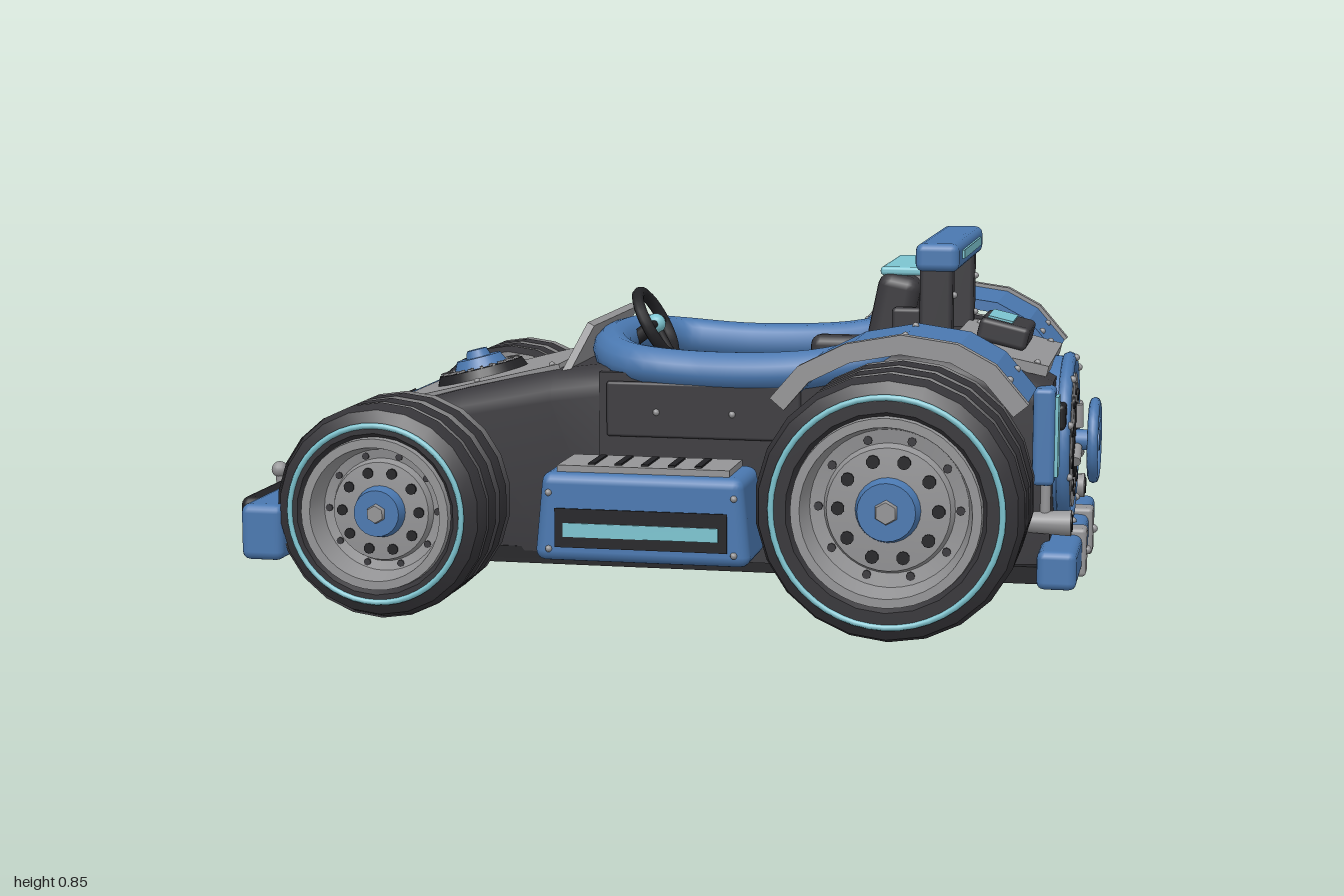
import * as THREE from 'three';
import { toCreasedNormals } from 'three/addons/utils/BufferGeometryUtils.js';
import { RoundedBoxGeometry } from 'three/addons/geometries/RoundedBoxGeometry.js';

const paint = (name, color) => Object.assign(new THREE.MeshStandardMaterial({ color }), { name });

export function createModel() {
  const blue = paint('blue paint', 0x4a78b0), body = paint('charcoal body', 0x3a393d),
    rubber = paint('tyre rubber', 0x353438), black = paint('black trim', 0x222225),
    grey = paint('grey metal', 0x949496), teal = paint('teal accent', 0x7cc4d0);
  const root = new THREE.Group();
  const SIDES = [1, -1];

  const add = (parent, name, geo, mat, x = 0, y = 0, z = 0) => {
    const m = new THREE.Mesh(geo, mat);
    m.name = name;
    m.position.set(x, y, z);
    parent.add(m);
    return m;
  };
  const group = (name, parent = root) => {
    const g = new THREE.Group();
    g.name = name;
    parent.add(g);
    return g;
  };
  // Box given by its limits, optionally with rounded edges
  const box = (p, name, mat, x0, x1, y0, y1, z0, z1, r = 0) => {
    const s = [x1 - x0, y1 - y0, z1 - z0];
    const g = r ? new RoundedBoxGeometry(...s, 2, r) : new THREE.BoxGeometry(...s);
    return add(p, name, g, mat, (x0 + x1) / 2, (y0 + y1) / 2, (z0 + z1) / 2);
  };
  // Cylinder between two points
  const bar = (p, name, mat, a, b, r, r2 = r, n = 14) => {
    const A = new THREE.Vector3(...a), B = new THREE.Vector3(...b), d = B.clone().sub(A);
    const m = add(p, name, new THREE.CylinderGeometry(r2, r, d.length(), n), mat);
    m.position.copy(A).lerp(B, 0.5);
    m.quaternion.setFromUnitVectors(new THREE.Vector3(0, 1, 0), d.normalize());
    return m;
  };
  const bolt = (p, x, y, z, r = 0.008) => add(p, 'bolt', new THREE.SphereGeometry(r, 8, 6), grey, x, y, z);
  // Sloping tapered plate; its group has x along the slope and y = 0 on its upper face
  const slab = (name, mat, [x1, y1], [x2, y2], t, w1, w2 = w1, parent = root) => {
    const g = group(name, parent), len = Math.hypot(x2 - x1, y2 - y1);
    g.position.set((x1 + x2) / 2, (y1 + y2) / 2, 0);
    g.rotation.z = Math.atan2(y2 - y1, x2 - x1);
    const geo = new THREE.BoxGeometry(len, t, 1), p = geo.attributes.position;
    for (let i = 0; i < p.count; i++) p.setZ(i, p.getZ(i) * (p.getX(i) < 0 ? w1 : w2));
    geo.computeVertexNormals();
    add(g, name + 'Plate', geo, mat, 0, -t / 2, 0);
    return g;
  };
  // Body shell lofted along x from [x, halfWidth, bottom, top, cornerRadius]
  const loft = (name, mat, rows) => {
    const pos = [], idx = [], n = 12;
    rows.forEach(([x, w, b, t, r]) => {
      const ring = [[b, w * 0.94]];
      for (let i = 0; i < 5; i++) {
        const a = i * Math.PI / 8;
        ring.push([t - r + r * Math.sin(a), w - r + r * Math.cos(a)]);
      }
      [...ring, ...ring.slice().reverse().map(([y, z]) => [y, -z])].forEach(([y, z]) => pos.push(x, y, z));
    });
    for (let k = 0; k < rows.length - 1; k++) for (let i = 0; i < n; i++) {
      const a = k * n + i, b = k * n + (i + 1) % n;
      idx.push(a, a + n, b, b, a + n, b + n);
    }
    const e = (rows.length - 1) * n;
    for (let i = 1; i < n - 1; i++) idx.push(0, i, i + 1, e, e + i + 1, e + i);
    const g = new THREE.BufferGeometry();
    g.setAttribute('position', new THREE.Float32BufferAttribute(pos, 3));
    g.setIndex(idx);
    return add(root, name, toCreasedNormals(g, 0.6), mat);
  };

  // Body shells, tub and floor
  loft('noseBody', body, [[-0.875, 0.26, 0.1, 0.27, 0.04], [-0.85, 0.275, 0.1, 0.345, 0.04], [-0.7, 0.285, 0.1, 0.425, 0.05],
    [-0.5, 0.295, 0.1, 0.48, 0.06], [-0.27, 0.315, 0.1, 0.535, 0.07], [-0.13, 0.325, 0.1, 0.555, 0.07]]);
  loft('tailBody', body, [[0.5, 0.325, 0.1, 0.6, 0.06], [0.65, 0.315, 0.1, 0.605, 0.06], [0.8, 0.295, 0.1, 0.575, 0.06], [0.9, 0.265, 0.1, 0.53, 0.06]]);
  box(root, 'floorPan', black, -0.87, 0.89, 0.07, 0.11, -0.29, 0.29);
  box(root, 'cockpitFloor', body, -0.14, 0.52, 0.11, 0.26, -0.3, 0.3);
  for (const s of SIDES) {
    box(root, 'tubWall', body, -0.15, 0.52, 0.1, 0.54, s * 0.295 - 0.03, s * 0.295 + 0.03);
    box(root, 'sidePanel', body, -0.13, 0.33, 0.39, 0.52, s * 0.33 - 0.008, s * 0.33 + 0.008, 0.007);
    for (const x of [-0.01, 0.17]) bolt(root, x, 0.45, s * 0.338);
  }
  // Padded cockpit rim
  const half = [[-0.155, 0.575, 0.16], [-0.08, 0.558, 0.28], [0.1, 0.545, 0.3], [0.35, 0.555, 0.3], [0.49, 0.585, 0.275], [0.535, 0.6, 0.15]];
  const loop = [...half, ...half.slice().reverse().map(([x, y, z]) => [x, y, -z])].map(p => new THREE.Vector3(...p));
  add(root, 'cockpitRim', new THREE.TubeGeometry(new THREE.CatmullRomCurve3(loop, true), 72, 0.048, 12, true), blue);

  // Bonnet, nose panel and filler cap
  const nose = slab('nosePanel', blue, [-0.865, 0.352], [-0.705, 0.437], 0.02, 0.48, 0.5);
  for (const s of SIDES) box(nose, 'noseVent', black, -0.04, 0.035, 0, 0.008, s * 0.12 - 0.055, s * 0.12 + 0.055);
  const bonnet = slab('bonnet', grey, [-0.7, 0.437], [-0.265, 0.547], 0.02, 0.38, 0.51);
  for (const s of SIDES) for (const x of [-0.2, 0, 0.2]) bolt(bonnet, x, 0, s * (0.2 + x * 0.14));
  add(bonnet, 'capBase', new THREE.CylinderGeometry(0.105, 0.115, 0.022, 28), black, -0.045, 0.011);
  for (let i = 0; i < 20; i++) {
    const a = i * Math.PI / 10;
    const m = box(bonnet, 'capTooth', grey, -0.013, 0.013, -0.004, 0.004, -0.004, 0.004);
    m.position.set(-0.045 + 0.088 * Math.cos(a), 0.023, 0.088 * Math.sin(a));
    m.rotation.y = -a;
  }
  add(bonnet, 'capDisc', new THREE.CylinderGeometry(0.055, 0.068, 0.026, 24), blue, -0.045, 0.034);
  add(bonnet, 'capKnob', new THREE.CylinderGeometry(0.025, 0.032, 0.02, 16), blue, -0.045, 0.056);
  // Windscreen and steering wheel
  const screen = slab('windscreen', grey, [-0.255, 0.53], [-0.2, 0.645], 0.018, 0.54, 0.46);
  for (let i = -4; i <= 4; i++) box(screen, 'screenSlot', black, -0.025, 0.025, -0.002, 0.004, i * 0.042 - 0.013, i * 0.042 + 0.013);
  const steer = group('steeringWheel');
  steer.position.set(-0.085, 0.62, 0);
  steer.rotation.set(0, Math.PI / 2, 0);
  const tilt = group('steeringTilt', steer);
  tilt.rotation.x = -0.5;
  add(tilt, 'steeringRim', new THREE.TorusGeometry(0.085, 0.015, 8, 28), black);
  add(tilt, 'steeringHub', new THREE.SphereGeometry(0.025, 12, 8), teal);
  for (const a of [0, Math.PI, -Math.PI / 2]) bar(tilt, 'steeringSpoke', black, [0, 0, 0], [0.085 * Math.cos(a), 0.085 * Math.sin(a), 0], 0.01);
  bar(root, 'steeringColumn', black, [-0.085, 0.62, 0], [-0.19, 0.54, 0], 0.018);

  // Seat and roll bar
  const seat = group('seat');
  box(seat, 'seatCushion', body, 0.12, 0.45, 0.26, 0.42, -0.2, 0.2, 0.03);
  const back = box(seat, 'seatBack', body, -0.05, 0.05, -0.2, 0.2, -0.19, 0.19, 0.03);
  back.position.set(0.5, 0.57, 0);
  back.rotation.z = -0.2;
  box(seat, 'headrest', body, 0.5, 0.6, 0.69, 0.77, -0.12, 0.12, 0.025);
  box(seat, 'headrestTrim', teal, 0.49, 0.6, 0.765, 0.785, -0.17, 0.17, 0.008);
  for (const s of SIDES) {
    box(seat, 'armrest', body, 0.27, 0.45, 0.4, 0.58, s * 0.2 - 0.035, s * 0.2 + 0.035, 0.025);
    box(root, 'rollPost', body, 0.595, 0.67, 0.56, 0.8, s * 0.25 - 0.03, s * 0.25 + 0.03, 0.01);
    box(root, 'rollBrace', body, 0.53, 0.6, 0.56, 0.7, s * 0.25 - 0.02, s * 0.25 + 0.02, 0.01);
    for (const y of [0.64, 0.73]) bolt(root, 0.672, y, s * 0.25);
  }
  box(root, 'rollBar', blue, 0.585, 0.685, 0.785, 0.85, -0.29, 0.29, 0.018);
  box(root, 'rollBarLight', teal, 0.68, 0.69, 0.81, 0.83, -0.2, 0.2);

  // Rear deck with vent hood
  const deck = slab('rearDeck', grey, [0.66, 0.622], [0.89, 0.568], 0.025, 0.54, 0.46);
  box(deck, 'deckVent', body, -0.07, 0.05, 0, 0.055, -0.1, 0.1, 0.012);
  box(deck, 'deckVentGlow', teal, -0.055, 0.005, 0.05, 0.06, -0.075, 0.075);
  for (const s of SIDES) for (const x of [-0.09, 0.09]) bolt(deck, x, 0, s * 0.215);

  // Wheels, with the axle along z and the outer face on +z
  const wheel = (name, x, R, z, w, rr, s) => {
    const g = group(name), h = w / 2;
    g.position.set(x, R + 0.005, s * z);
    if (s < 0) g.rotation.y = Math.PI;
    const lathe = (label, pts, mat, n) => {
      const geo = toCreasedNormals(new THREE.LatheGeometry(pts.map(p => new THREE.Vector2(...p)), n), 0.5);
      return add(g, label, geo.rotateX(Math.PI / 2), mat);
    };
    const prof = [[rr, -h + 0.03], [rr + 0.02, -h], [R - 0.05, -h], [R - 0.012, -h + 0.025], [R, -h + 0.06]];
    for (const c of [-0.3, 0, 0.3].map(k => k * w))
      prof.push([R, c - 0.016], [R - 0.014, c - 0.01], [R - 0.014, c + 0.01], [R, c + 0.016]);
    prof.push([R, h - 0.06], [R - 0.012, h - 0.025], [R - 0.05, h], [rr + 0.02, h], [rr, h - 0.03]);
    lathe('tyre', prof, rubber, 22);
    add(g, 'tyreStripe', new THREE.TorusGeometry(R - 0.045, 0.007, 6, 48), teal, 0, 0, h - 0.001);
    lathe('rim', [[rr + 0.012, h - 0.03], [rr + 0.008, h + 0.004], [rr - 0.012, h + 0.004], [rr - 0.025, h - 0.06],
      [rr * 0.72, h - 0.065], [rr * 0.68, h - 0.045], [rr * 0.4, h - 0.04], [0, h - 0.04]], grey, 40);
    const disc = (label, r, r2, len, mat, px, py, zc, n = 24) =>
      add(g, label, new THREE.CylinderGeometry(r2, r, len, n).rotateX(Math.PI / 2), mat, px, py, zc);
    disc('innerDisc', rr + 0.01, rr + 0.01, 0.04, black, 0, 0, -h + 0.06);
    for (let i = 0; i < 10; i++) {
      const c = Math.cos(i * Math.PI / 5), q = Math.sin(i * Math.PI / 5);
      disc('rimHole', rr * 0.075, rr * 0.075, 0.006, black, rr * 0.55 * c, rr * 0.55 * q, h - 0.041, 10);
      disc('rimSlot', rr * 0.05, rr * 0.05, 0.006, body, rr * 0.78 * c, rr * 0.78 * q, h - 0.062, 8);
    }
    disc('hub', rr * 0.36, rr * 0.32, 0.03, blue, 0, 0, h - 0.025);
    disc('hubNut', rr * 0.14, rr * 0.12, 0.012, grey, 0, 0, h - 0.005, 6);
  };
  for (const s of SIDES) {
    wheel('frontWheel', -0.58, 0.247, 0.548, 0.3, 0.165, s);
    wheel('rearWheel', 0.58, 0.297, 0.532, 0.375, 0.2, s);
    // Axles, wishbones and dampers
    bar(root, 'rearAxle', black, [0.58, 0.3, s * 0.28], [0.58, 0.3, s * 0.4], 0.05);
    for (const y of [0.2, 0.33]) for (const d of [-0.09, 0.09])
      bar(root, 'wishbone', body, [-0.58 + d, y, s * 0.27], [-0.58, y, s * 0.45], 0.012);
    bar(root, 'damper', black, [-0.58, 0.24, s * 0.42], [-0.58, 0.45, s * 0.27], 0.014);
    bar(root, 'damperSpring', teal, [-0.58, 0.29, s * 0.385], [-0.58, 0.4, s * 0.31], 0.028);
  }

  // Rear mudguards
  const arch = [[0.32, 0.53], [0.38, 0.6], [0.48, 0.65], [0.6, 0.672], [0.72, 0.655], [0.8, 0.612], [0.87, 0.53]];
  const guard = (name, mat, s, z0, z1, inner, outer) => {
    const off = k => arch.map(([x, y]) => new THREE.Vector2(0.59 + (x - 0.59) * k, 0.3 + (y - 0.3) * k));
    const shape = new THREE.Shape([...off(outer), ...off(inner).reverse()]);
    add(root, name, new THREE.ExtrudeGeometry(shape, { depth: z1 - z0, bevelEnabled: false }), mat, 0, 0, s > 0 ? z0 : -z1);
  };
  for (const s of SIDES) {
    guard('mudguard', blue, s, 0.325, 0.625, 0.93, 1);
    guard('mudguardEdge', grey, s, 0.62, 0.65, 0.91, 1.025);
    for (const z of [0.38, 0.57]) { bolt(root, 0.6, 0.672, s * z); bolt(root, 0.83, 0.58, s * z); bolt(root, 0.36, 0.58, s * z); }
  }

  // Side pods with louvres and light strips
  for (const s of SIDES) {
    const pod = group('sidePod'), c = s * 0.445, f = s * 0.55;
    const shell = box(pod, 'podShell', blue, -0.25, 0.25, 0.13, 0.335, c - 0.105, c + 0.105, 0.025);
    const p = shell.geometry.attributes.position;
    for (let i = 0; i < p.count; i++) if (p.getY(i) > 0) p.setX(i, p.getX(i) * 0.94);
    box(pod, 'podTop', grey, -0.2, 0.2, 0.33, 0.35, c - 0.08, c + 0.08);
    for (let i = -2; i <= 2; i++) box(pod, 'louvre', black, i * 0.062 - 0.008, i * 0.062 + 0.008, 0.346, 0.354, c - 0.06, c + 0.06);
    box(pod, 'podRecess', black, -0.2, 0.2, 0.165, 0.255, f - 0.004, f + 0.004);
    box(pod, 'podLight', teal, -0.18, 0.18, 0.19, 0.222, f - 0.007, f + 0.007);
    for (const x of [-0.215, 0.215]) for (const y of [0.16, 0.29]) bolt(pod, x, y, f);
    box(pod, 'podMount', body, -0.18, 0.18, 0.14, 0.3, s * 0.33 - 0.03, s * 0.33 + 0.03);
  }

  // Front bumper, plate, lamps and tow hooks
  box(root, 'frontBumper', blue, -0.91, -0.81, 0.13, 0.26, -0.68, 0.68, 0.02);
  box(root, 'frontPlate', grey, -0.945, -0.905, 0.13, 0.28, -0.2, 0.2, 0.01);
  add(root, 'keyhole', new THREE.CylinderGeometry(0.02, 0.02, 0.008, 16).rotateZ(Math.PI / 2), teal, -0.947, 0.215, 0);
  box(root, 'keyholeSlot', teal, -0.951, -0.943, 0.165, 0.21, -0.009, 0.009);
  for (const s of SIDES) {
    const z = s * 0.4;
    box(root, 'frontLampFrame', black, -0.965, -0.9, 0.155, 0.25, z - 0.14, z + 0.14, 0.02);
    box(root, 'frontLamp', teal, -0.97, -0.962, 0.185, 0.22, z - 0.11, z + 0.11);
    bar(root, 'towArm', grey, [-0.9, 0.13, s * 0.23], [-0.97, 0.14, s * 0.23], 0.016);
    add(root, 'towHook', new THREE.TorusGeometry(0.03, 0.011, 8, 18), grey, -0.958, 0.15, s * 0.23);
    bar(root, 'towPin', grey, [-0.97, 0.15, s * 0.23], [-0.98, 0.27, s * 0.23], 0.012);
    add(root, 'towPinHead', new THREE.SphereGeometry(0.02, 12, 8), grey, -0.98, 0.265, s * 0.23);
  }

  // Rear bumper, tail lamps and exhausts
  box(root, 'rearBumper', blue, 0.88, 0.97, 0.075, 0.165, -0.385, 0.385, 0.018);
  for (const s of SIDES) {
    const z = s * 0.135, t = s * 0.26;
    box(root, 'bumperStrap', grey, 0.87, 0.98, 0.065, 0.18, z - 0.033, z + 0.033, 0.01);
    bolt(root, 0.98, 0.125, z, 0.011);
    box(root, 'tailLampFrame', blue, 0.86, 0.91, 0.3, 0.525, t - 0.04, t + 0.04, 0.012);
    box(root, 'tailLamp', teal, 0.89, 0.918, 0.32, 0.505, t - 0.028, t + 0.028);
    bar(root, 'exhaust', grey, [0.84, 0.21, t], [0.95, 0.21, t], 0.024, 0.03);
    bar(root, 'exhaustBore', black, [0.945, 0.21, t], [0.953, 0.21, t], 0.02);
    bar(root, 'exhaustRiser', grey, [0.89, 0.21, t], [0.89, 0.32, t], 0.012);
  }
  box(root, 'latch', black, 0.88, 0.93, 0.42, 0.48, 0.17, 0.24, 0.01);

  // Round rear hatch with handwheel
  const hatch = group('rearHatch');
  hatch.position.set(0.9, 0.365, 0);
  hatch.rotation.y = Math.PI / 2;
  const disc = (name, r, z0, z1, mat, x = 0, y = 0, n = 36) =>
    add(hatch, name, new THREE.CylinderGeometry(r, r, z1 - z0, n).rotateX(Math.PI / 2), mat, x, y, (z0 + z1) / 2);
  disc('hatchBase', 0.2, -0.03, 0.022, blue);
  add(hatch, 'hatchRing', new THREE.TorusGeometry(0.193, 0.017, 8, 40), blue, 0, 0, 0.022);
  disc('hatchGlow', 0.178, 0.02, 0.027, teal);
  disc('hatchDisc', 0.16, 0.02, 0.038, grey);
  disc('hatchCentre', 0.09, 0.036, 0.042, black);
  for (let i = 0; i < 10; i++) {
    const a = (i + 0.5) * Math.PI / 5, c = Math.cos(a), q = Math.sin(a);
    disc('hatchHole', 0.015, 0.036, 0.042, black, 0.122 * c, 0.122 * q, 12);
    bolt(hatch, 0.197 * c, 0.197 * q, 0.038, 0.009);
  }
  add(hatch, 'handwheel', new THREE.TorusGeometry(0.09, 0.013, 8, 32), blue, 0, 0, 0.085);
  for (let i = 0; i < 3; i++) {
    const a = Math.PI / 6 + i * Math.PI * 2 / 3;
    bar(hatch, 'handwheelSpoke', blue, [0, 0, 0.08], [0.09 * Math.cos(a), 0.09 * Math.sin(a), 0.085], 0.011);
    const b = a + Math.PI / 3;
    bar(hatch, 'hatchStrut', grey, [0.03 * Math.cos(b), 0.03 * Math.sin(b), 0.044], [0.085 * Math.cos(b), 0.085 * Math.sin(b), 0.044], 0.014);
  }
  disc('handwheelHub', 0.025, 0.03, 0.098, blue, 0, 0, 16);
  return root;
}
